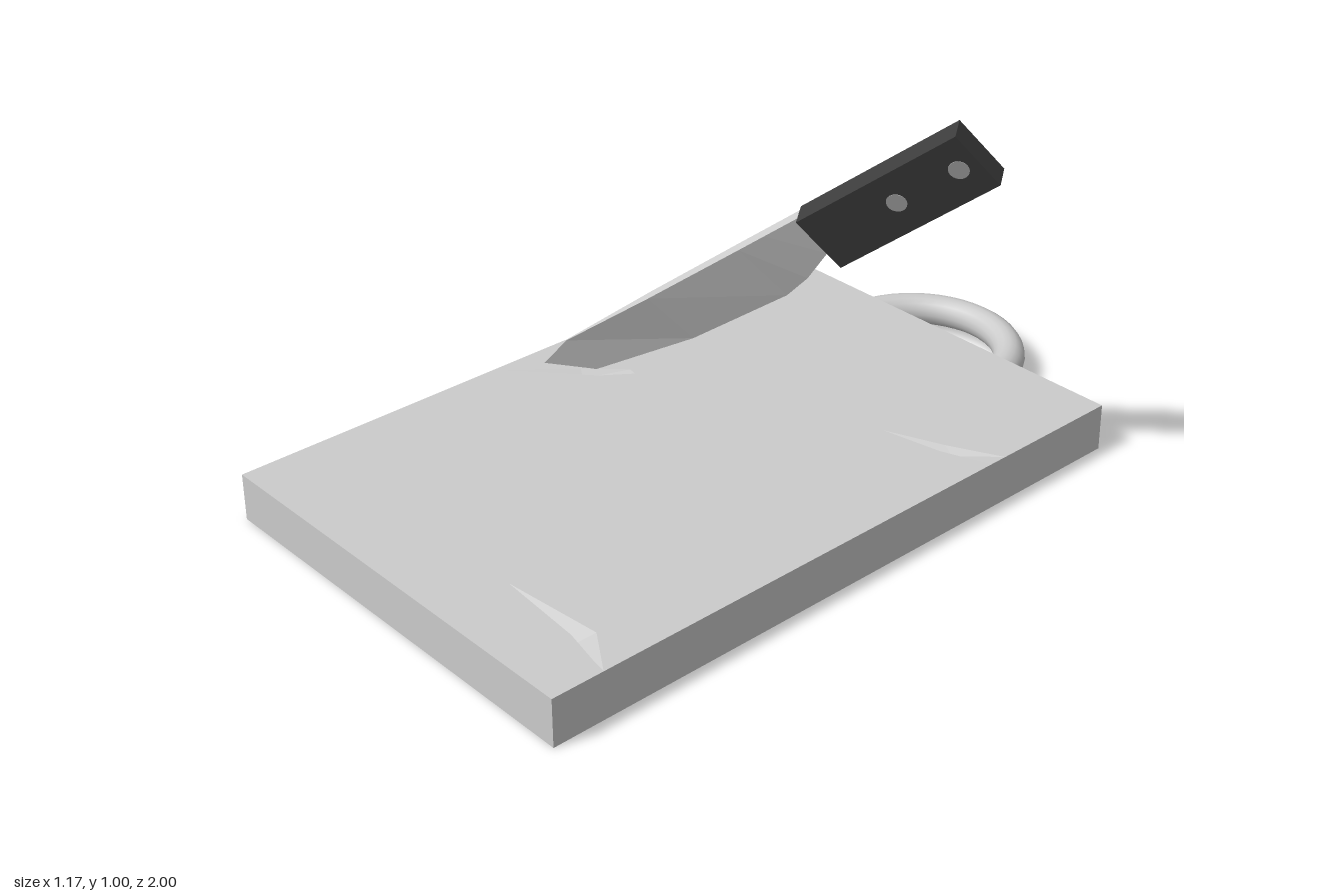
import * as THREE from 'three';

const grey = new THREE.MeshStandardMaterial({ color: 0xcccccc, flatShading: true });
const greySmooth = new THREE.MeshStandardMaterial({ color: 0xcccccc });
const greyDouble = new THREE.MeshStandardMaterial({ color: 0xcccccc, flatShading: true, side: THREE.DoubleSide });
const black = new THREE.MeshStandardMaterial({ color: 0x3c3c3c, flatShading: true });
const rivetGrey = new THREE.MeshStandardMaterial({ color: 0xa8a8a8 });

const HALF_W = 0.585, BACK = -0.76, FRONT = 1, TOP = 0.125;

// outlines [x, z] of the cuts in the board's top
const cuts = [
  [[-0.583, 0.25], [-0.44, 0.08], [-0.35, -0.01], [-0.325, -0.005], [-0.38, 0.07], [-0.46, 0.14]],
  [[0.583, -0.395], [0.45, -0.33], [0.3, -0.27], [0.46, -0.3], [0.583, -0.345]],
  [[0.2, 0.81], [0.47, 0.785], [0.583, 0.86], [0.55, 0.855], [0.44, 0.83]],
];

function add(parent, name, geometry, material) {
  const mesh = new THREE.Mesh(geometry, material);
  mesh.name = name;
  parent.add(mesh);
  return mesh;
}

// triangles from a list of Vector3-like arrays, unindexed
function fromTriangles(points) {
  const g = new THREE.BufferGeometry();
  g.setAttribute('position', new THREE.Float32BufferAttribute(points.flat(), 3));
  g.computeVertexNormals();
  return g;
}

// shallow pit: a fan from the outline down to one deep point
function pit(outline, depth) {
  const n = outline.length;
  const mid = [0, 1].map(k => outline.reduce((s, p) => s + p[k], 0) / n);
  const tris = [];
  outline.forEach((p, i) => {
    const q = outline[(i + 1) % n];
    tris.push([p[0], TOP, p[1]], [q[0], TOP, q[1]], [mid[0], TOP - depth, mid[1]]);
  });
  return fromTriangles(tris);
}

function createBoard() {
  const board = new THREE.Group();
  board.name = 'cuttingBoard';

  // sides and bottom: a box without its top face
  const box = new THREE.BoxGeometry(HALF_W * 2, TOP, FRONT - BACK);
  const index = Array.from(box.index.array);
  index.splice(12, 6);
  box.setIndex(index);
  box.clearGroups();
  box.translate(0, TOP / 2, (FRONT + BACK) / 2);
  add(board, 'boardSides', box, grey);

  // top face with openings for the cuts
  const v = ([x, z]) => new THREE.Vector2(x, -z);
  const shape = new THREE.Shape([[-HALF_W, FRONT], [HALF_W, FRONT], [HALF_W, BACK], [-HALF_W, BACK]].map(v));
  shape.holes = cuts.map(c => new THREE.Path(c.map(v)));
  const top = new THREE.ShapeGeometry(shape);
  top.rotateX(-Math.PI / 2).translate(0, TOP, 0);
  add(board, 'boardTop', top, grey);
  cuts.forEach(c => add(board, 'cutMark', pit(c, 0.02), greyDouble));

  // carrying loop at the back
  const loop = new THREE.TorusGeometry(0.242, 0.042, 16, 24, Math.PI);
  loop.rotateX(-Math.PI / 2).translate(0, 0.06, -0.716);
  add(board, 'carryLoop', loop, greySmooth);
  return board;
}

// blade from cross-sections: [along, spine, edge, half spine thickness, half edge thickness]
function bladeGeometry() {
  const sections = [
    [0.02, 0, -0.115, 0.015, 0.014],
    [-0.011, 0, -0.122, 0.015, 0.013],
    [-0.106, 0, -0.159, 0.015, 0.01],
    [-0.19, 0, -0.177, 0.015, 0.006],
    [-0.5, 0, -0.166, 0.013, 0.001],
    [-0.8, 0, -0.116, 0.002, 0.001],
    [-0.92, -0.03, -0.09, 0.001, 0.001],
  ].map(([a, s, e, ts, te]) => [[a, s, ts], [a, s, -ts], [a, e, -te], [a, e, te]]);
  const tris = [];
  const quad = (a, b, c, d) => tris.push(a, b, c, a, c, d);
  for (let i = 0; i < sections.length - 1; i++) {
    const p = sections[i], q = sections[i + 1];
    for (let j = 0; j < 4; j++) {
      const k = (j + 1) % 4;
      quad(p[j], p[k], q[k], q[j]);
    }
  }
  const first = sections[0], last = sections[sections.length - 1];
  quad(first[3], first[2], first[1], first[0]);
  quad(last[0], last[1], last[2], last[3]);
  return fromTriangles(tris);
}

function createKnife() {
  const knife = new THREE.Group();
  knife.name = 'knife';
  // local frame: x towards the handle's end, y towards the spine, z out of the front face
  add(knife, 'blade', bladeGeometry(), greyDouble);

  const handle = new THREE.BoxGeometry(0.48, 0.164, 0.06);
  handle.translate(0.24, -0.082, 0);
  add(knife, 'handle', handle, black);

  for (const x of [0.244, 0.427]) {
    const rivet = new THREE.CylinderGeometry(0.025, 0.025, 0.063, 20);
    rivet.rotateX(Math.PI / 2).translate(x, -0.079, 0);
    add(knife, 'rivet', rivet, rivetGrey);
  }

  // lean the knife with its tip stuck in the board
  const along = new THREE.Vector3(0.737, 0.606, -0.3).normalize();
  const out = along.clone().cross(new THREE.Vector3(-0.396, 0.762, 0.518)).normalize();
  const up = out.clone().cross(along);
  knife.quaternion.setFromRotationMatrix(new THREE.Matrix4().makeBasis(along, up, out));
  knife.position.set(0.15, 0.69, -0.105).addScaledVector(out, -0.03);
  return knife;
}

export function createModel() {
  const model = new THREE.Group();
  model.name = 'cuttingBoardWithKnife';
  model.add(createBoard(), createKnife());
  return model;
}
